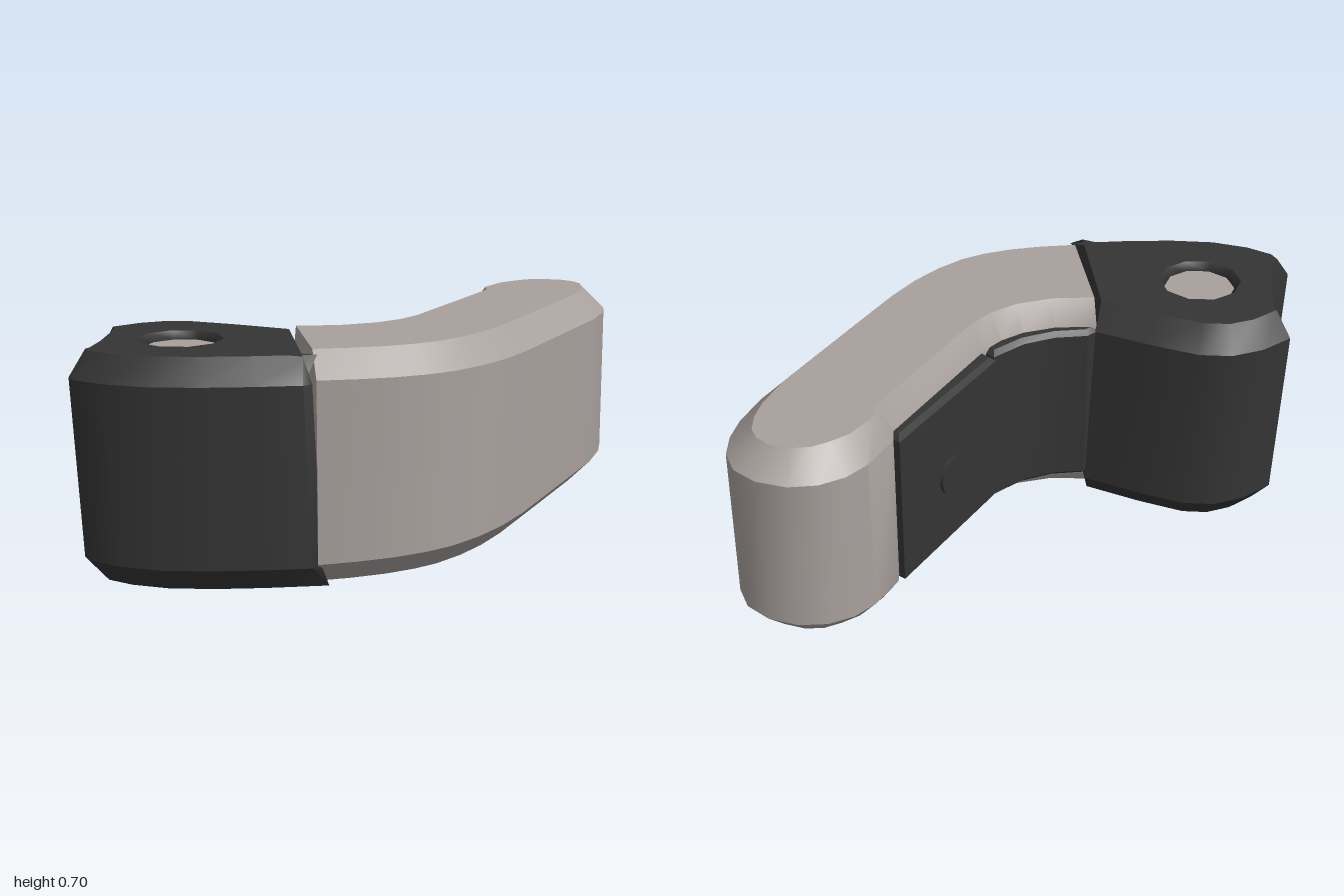
import * as THREE from 'three';
import { toCreasedNormals } from 'three/addons/utils/BufferGeometryUtils.js';

const grey = new THREE.MeshStandardMaterial({ color: 0xa8a09d });
grey.name = 'warm grey';
const dark = new THREE.MeshStandardMaterial({ color: 0x343434 });
dark.name = 'charcoal';

// Offset an outline inwards; each point is [x, z, inset of the edge that starts there].
function insetOutline(pts) {
  const n = pts.length;
  const normal = (i) => {
    const a = pts[i], b = pts[(i + 1) % n];
    return new THREE.Vector2(b[1] - a[1], b[0] - a[0]).normalize();
  };
  return pts.map((p, i) => {
    const j = (i + n - 1) % n;
    const n1 = normal(j), n2 = normal(i), a = pts[j][2], b = p[2];
    const det = n1.x * n2.y - n1.y * n2.x;
    let dx, dy;
    if (Math.abs(det) < 0.45) {
      const k = (a + b) / 2 / (1 + n1.dot(n2));
      dx = (n1.x + n2.x) * k;
      dy = (n1.y + n2.y) * k;
    } else {
      dx = (a * n2.y - b * n1.y) / det;
      dy = (b * n1.x - a * n2.x) / det;
    }
    return [p[0] + dx, p[1] - dy];
  });
}

// Upright prism with chamfered rims; outline runs counter-clockwise seen from above.
function chamferPrism(pts, bottom, top, chamfer, hole = []) {
  const inner = insetOutline(pts);
  const base = (p) => (typeof bottom === 'function' ? bottom(p[1]) : bottom);
  const rings = [
    inner.map((p) => [p[0], base(p), p[1]]),
    pts.map((p) => [p[0], base(p) + chamfer, p[1]]),
    pts.map((p) => [p[0], top - chamfer, p[1]]),
    inner.map((p) => [p[0], top, p[1]]),
  ];
  const pos = [];
  const tri = (a, b, c) => pos.push(...a, ...b, ...c);
  const n = pts.length;
  for (let r = 0; r < 3; r++) {
    for (let i = 0; i < n; i++) {
      const k = (i + 1) % n, lo = rings[r], hi = rings[r + 1];
      tri(lo[i], lo[k], hi[k]);
      tri(lo[i], hi[k], hi[i]);
    }
  }
  const flat = (list) => list.map((p) => new THREE.Vector2(p[0], -p[1]));
  const faces = THREE.ShapeUtils.triangulateShape(flat(inner), hole.length ? [flat(hole)] : []);
  const all = [...inner, ...hole];
  for (const f of faces) {
    let [a, b, c] = f.map((i) => all[i]);
    if ((b[1] - a[1]) * (c[0] - a[0]) - (b[0] - a[0]) * (c[1] - a[1]) < 0) [b, c] = [c, b];
    const up = (p) => [p[0], top, p[1]];
    const down = (p) => [p[0], base(p), p[1]];
    tri(up(a), up(b), up(c));
    tri(down(a), down(c), down(b));
  }
  const g = new THREE.BufferGeometry();
  g.setAttribute('position', new THREE.Float32BufferAttribute(pos, 3));
  return toCreasedNormals(g, 0.6);
}

// Slight backward lean of the clamp towards its base
function lean(g) {
  const p = g.attributes.position;
  for (let i = 0; i < p.count; i++) p.setZ(i, p.getZ(i) + 0.05 * (p.getY(i) - 0.6));
  return g;
}

export function createModel() {
  const group = new THREE.Group();
  const add = (name, geometry, material) => {
    const mesh = new THREE.Mesh(geometry, material);
    mesh.name = name;
    group.add(mesh);
    return mesh;
  };

  // Bent lever with a rounded tip and a rising underside
  const o = 0.075, s = 0.05;
  const leverOutline = [
    [0.34, 0.47, o], [0.39, 0.37, o], [0.43, 0.27, o], [0.455, 0.17, o], [0.463, 0.08, o],
    [0.45, -0.03, o], [0.42, -0.14, o], [0.37, -0.26, o], [0.22, -0.55, o], [0.1, -0.78, o],
    [0.03, -0.88, o], [-0.03, -0.94, o], [-0.1, -0.985, o], [-0.18, -1, o], [-0.26, -0.975, o],
    [-0.33, -0.915, o], [-0.368, -0.84, o], [-0.375, -0.76, o], [-0.355, -0.68, s],
    [-0.295, -0.57, s], [-0.25, -0.54, s], [-0.02, -0.09, s], [0, -0.02, s],
    [0.002, 0.06, s], [-0.025, 0.16, s], [-0.09, 0.27, 0],
  ];
  add('lever', chamferPrism(leverOutline, (z) => 0.03 - 0.045 * z, 0.7, 0.075), grey);

  // Dark lining on the inside of the bend, with a raised pad above it
  const l = 0.015;
  add('bendLining', chamferPrism([
    [0.03, -0.1, l], [-0.05, -0.08, l], [-0.035, 0.04, l], [-0.055, 0.14, l],
    [-0.1, 0.23, l], [-0.09, 0.29, l], [0.02, 0.25, l], [0.05, 0.05, l],
  ], 0.09, 0.625, 0.015), dark);
  add('gripPad', chamferPrism([
    [-0.22, -0.57, l], [-0.29, -0.545, l], [-0.07, -0.085, l], [0.01, -0.11, l],
  ], 0.11, 0.625, 0.015), dark);
  const stud = add('padStud', new THREE.CylinderGeometry(0.06, 0.06, 0.02, 16), dark);
  stud.geometry.rotateZ(Math.PI / 2).rotateY(0.455);
  stud.position.set(-0.18, 0.35, -0.315);

  // Clamp block with a hollow front-right face and a pin bore
  const cx = -0.12, cz = 0.64, sides = 10;
  const bore = [];
  for (let i = 0; i < sides; i++) {
    const a = (i / sides) * Math.PI * 2;
    bore.push([cx + 0.128 * Math.sin(a), cz + 0.128 * Math.cos(a)]);
  }
  const c = 0.06, h = 0.025;
  const clampOutline = [
    [-0.1, 0.26, c], [-0.25, 0.35, c], [-0.38, 0.44, c], [-0.44, 0.52, c], [-0.463, 0.62, c],
    [-0.455, 0.735, h], [-0.39, 0.745, h], [-0.33, 0.79, h], [-0.24, 0.865, h], [-0.175, 0.93, h],
    [-0.14, 0.995, c], [-0.1, 1, c], [0, 0.955, c], [0.1, 0.875, c], [0.19, 0.76, c],
    [0.27, 0.63, c], [0.335, 0.51, 0.03], [0.335, 0.48, 0.02],
  ];
  add('clamp', lean(chamferPrism(clampOutline, 0, 0.69, 0.075, bore)), dark);

  // Countersunk bore and pivot pin
  const profile = [[0.128, 0.69], [0.11, 0.665], [0.11, 0.025], [0.128, 0]];
  const boreWall = new THREE.LatheGeometry(profile.map((p) => new THREE.Vector2(...p)), sides);
  add('pinBore', lean(boreWall.translate(cx, 0, cz)), dark);
  const pin = new THREE.CylinderGeometry(0.11, 0.11, 0.64, sides);
  add('pivotPin', lean(pin.translate(cx, 0.345, cz)), grey);

  return group;
}
